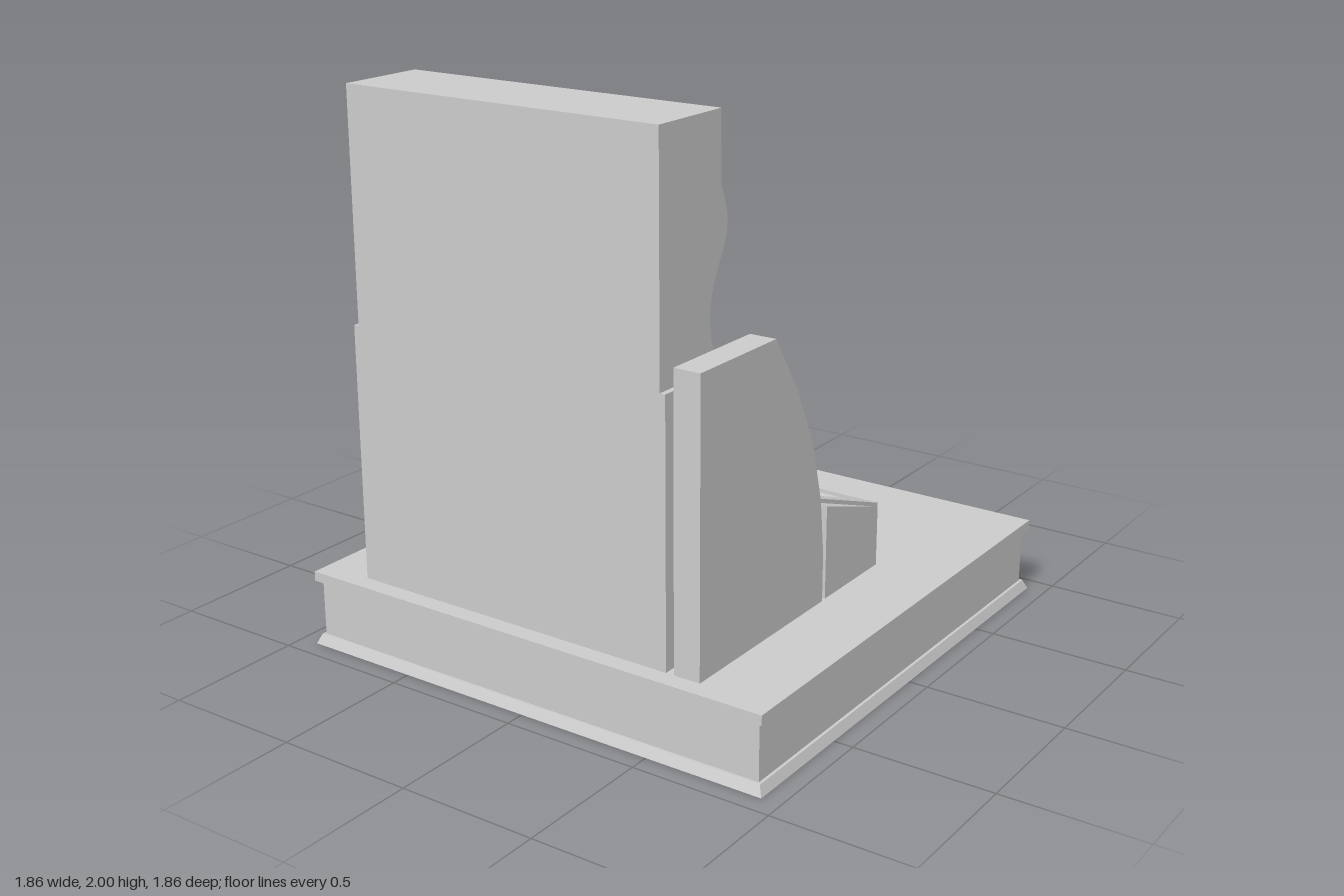
import * as THREE from 'three';
import { toCreasedNormals } from 'three/addons/utils/BufferGeometryUtils.js';

const material = new THREE.MeshStandardMaterial({ color: 0xcccccc });
const flat = new THREE.MeshStandardMaterial({ color: 0xcccccc, flatShading: true, side: THREE.DoubleSide });
const FLOOR = 0.275;

export function createModel() {
  const model = new THREE.Group();

  function add(name, geometry, mat = material) {
    const mesh = new THREE.Mesh(geometry, mat);
    mesh.name = name;
    model.add(mesh);
    return mesh;
  }

  // Box given by its limits on each axis
  function box(name, x0, x1, y0, y1, z0, z1) {
    const g = new THREE.BoxGeometry(x1 - x0, y1 - y0, z1 - z0);
    g.translate((x0 + x1) / 2, (y0 + y1) / 2, (z0 + z1) / 2);
    return add(name, g);
  }

  // Side profile of (z, y) points, swept from x0 to x1
  function sweep(name, points, x0, x1) {
    const shape = new THREE.Shape(points.map(([z, y]) => new THREE.Vector2(z, y)));
    const g = new THREE.ExtrudeGeometry(shape, { depth: x1 - x0, bevelEnabled: false });
    g.rotateY(-Math.PI / 2).translate(x1, 0, 0);
    return add(name, toCreasedNormals(g, 0.35));
  }

  // Hollow square plinth with a sloped foot moulding
  const wall = [[0.93, 0], [0.915, 0.035], [0.905, 0.035], [0.905, 0.24], [0.895, 0.24], [0.895, 0], [0.93, 0]]
    .map(([r, y]) => new THREE.Vector2(r * Math.SQRT2, y));
  add('plinthSkirt', new THREE.LatheGeometry(wall, 4, Math.PI / 4), flat);
  box('plinthTop', -0.925, 0.925, 0.24, FLOOR, -0.925, 0.925);

  // Lower body with a concave-to-the-room arc down its back
  const radius = 1.246;
  const lower = [[0.86, FLOOR], [0.86, 1.19]];
  for (let i = 24; i >= 0; i--) {
    const h = (0.915 * i) / 24;
    lower.push([0.092 + radius - Math.sqrt(radius * radius - h * h), FLOOR + h]);
  }
  sweep('lowerBody', lower, -0.735, 0.53);

  // Upper body with a wavy back
  const wave = new THREE.CatmullRomCurve3([
    [0.535, 1.77], [0.512, 1.71], [0.499, 1.65], [0.512, 1.585], [0.555, 1.5],
    [0.587, 1.41], [0.589, 1.31], [0.57, 1.25], [0.53, 1.19],
  ].map(([z, y]) => new THREE.Vector3(z, y, 0)));
  const upper = [[0.86, 1.19], [0.86, 2], [0.535, 2], ...wave.getPoints(48).map((p) => [p.x, p.y])];
  sweep('upperBody', upper, -0.715, 0.51);
  box('headerPanel', -0.695, 0.49, 1.78, 1.985, 0.51, 0.54);

  // Free-standing side panel with a faceted edge
  sweep('sidePanel', [
    [0.86, FLOOR], [0.86, 1.28], [0.443, 1.28], [0.313, 1.08], [0.21, 0.87], [0.15, 0.65], [0.127, 0.45], [0.127, FLOOR],
  ], 0.56, 0.657);

  // Desk with a sloping top
  sweep('desk', [[0.105, FLOOR], [0.105, 0.61], [-0.245, 0.493], [-0.245, FLOOR]], 0.305, 0.655);

  // Desk cover with a sunken screen opening
  const rect = (P, x0, x1, y0, y1) => new P([[x0, y0], [x1, y0], [x1, y1], [x0, y1]]
    .map(([x, y]) => new THREE.Vector2(x, y)));
  const slope = Math.atan2(0.145, 0.395);
  const cover = rect(THREE.Shape, 0.305, 0.655, -0.421, 0);
  cover.holes.push(rect(THREE.Path, 0.36, 0.595, -0.26, -0.07));
  const coverGeometry = new THREE.ExtrudeGeometry(cover, { depth: 0.014, bevelEnabled: false });
  // Lay flat with the far edge toward -z, then tilt about that edge
  coverGeometry.translate(0, 0.421, -0.014).rotateX(Math.PI / 2).scale(1, 1, 1);
  coverGeometry.translate(0, -0.014, 0).rotateX(-slope).translate(0, 0.508, -0.245);
  add('deskCover', coverGeometry);

  // Floor mat with rounded outer corners
  const mat = new THREE.Shape();
  const x0 = -0.735, x1 = 0.305, far = 0.675, r = 0.03;
  mat.moveTo(x0, -0.11);
  mat.lineTo(x1, -0.11);
  mat.lineTo(x1, far - r);
  mat.absarc(x1 - r, far - r, r, 0, Math.PI / 2, false);
  mat.absarc(x0 + r, far - r, r, Math.PI / 2, Math.PI, false);
  mat.closePath();
  const matGeometry = new THREE.ExtrudeGeometry(mat, { depth: 0.02, bevelEnabled: false, curveSegments: 6 });
  matGeometry.rotateX(-Math.PI / 2).translate(0, FLOOR, 0);
  add('floorMat', toCreasedNormals(matGeometry, 0.5));

  return model;
}
